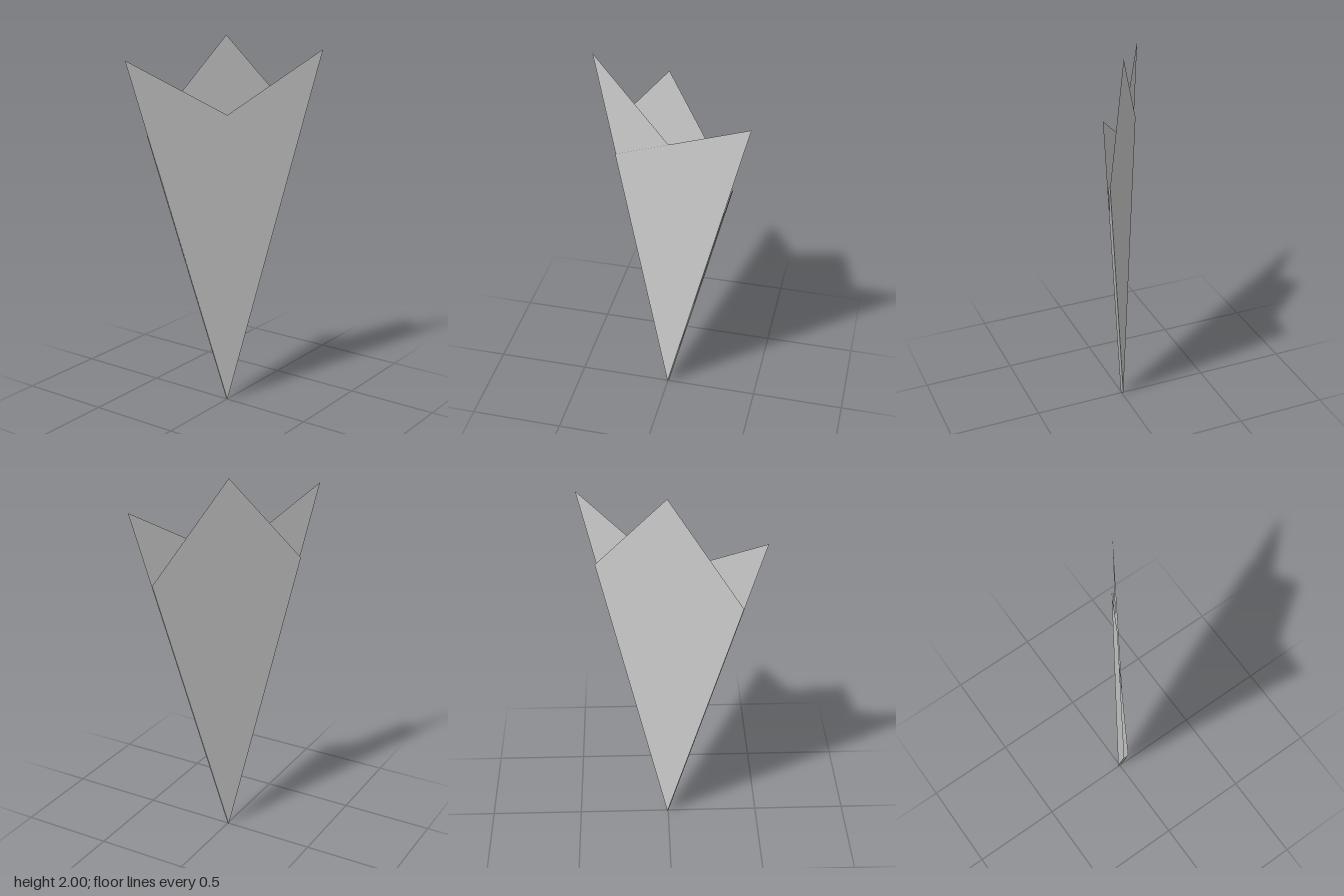
import * as THREE from 'three';

export function createModel() {
  const group = new THREE.Group();
  group.name = 'foldedPaperCone';
  const material = new THREE.MeshStandardMaterial({
    color: 0xcccccc, side: THREE.DoubleSide, flatShading: true,
  });

  const add = (name, geometry) => {
    const mesh = new THREE.Mesh(geometry, material);
    mesh.name = name;
    group.add(mesh);
  };

  // One flat layer of paper at a given depth
  const sheet = (name, points, depth) => {
    const shape = new THREE.Shape(points.map(([x, y]) => new THREE.Vector2(x, y)));
    add(name, new THREE.ShapeGeometry(shape).translate(0, 0, depth));
  };

  // Narrow strip of paper joining two layers along a slanted edge
  const fold = (name, x, y, back, front) => {
    const geometry = new THREE.BufferGeometry();
    geometry.setAttribute('position', new THREE.Float32BufferAttribute([
      0, 0, back, x, y, back, x, y, front, 0, 0, front,
    ], 3));
    geometry.setIndex([0, 1, 2, 0, 2, 3]);
    geometry.computeVertexNormals();
    add(name, geometry);
  };

  const BACK = -0.01, MIDDLE = -0.001, FRONT = 0.004;

  // Kite-shaped back with the central point
  sheet('backPanel', [[0, 0], [0.434, 1.51], [0, 2], [-0.434, 1.51]], BACK);

  // Two crossing flaps, mirrored, each with one tall tip
  const flap = (side) => [[0, 0], [side * 0.545, 1.9], [-side * 0.391, 1.365]];
  sheet('rightFlap', flap(-1), MIDDLE);
  sheet('leftFlap', flap(1), FRONT);

  // Folded side edges
  fold('leftBackFold', 0.434, 1.51, BACK, MIDDLE);
  fold('leftFrontFold', 0.391, 1.365, MIDDLE, FRONT);
  fold('rightBackFold', -0.434, 1.51, BACK, MIDDLE);
  fold('rightFrontFold', -0.391, 1.365, MIDDLE, FRONT);

  // The flat cone stands turned about the vertical axis
  group.rotation.y = -0.55;
  const model = new THREE.Group();
  model.name = 'paperCone';
  model.add(group);
  return model;
}
